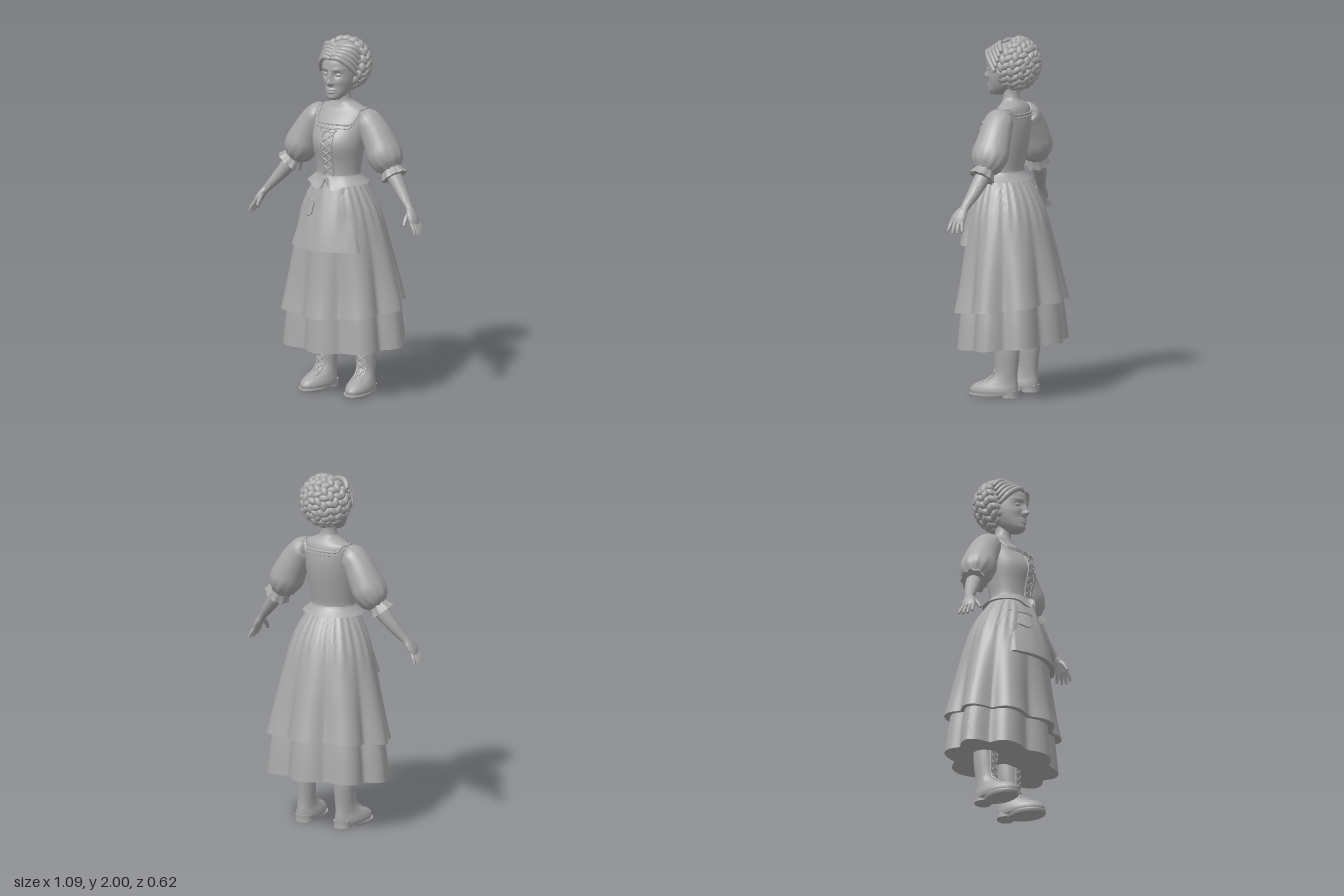
import * as THREE from 'three';
import { mergeGeometries, toCreasedNormals } from 'three/addons/utils/BufferGeometryUtils.js';

const clay = new THREE.MeshStandardMaterial({ color: 0xa8a8a8, side: THREE.DoubleSide });
clay.name = 'clay grey';

const V = (x, y, z) => new THREE.Vector3(x, y, z);
const TAU = Math.PI * 2;
const bell = (x, c, s) => Math.exp(-(((x - c) / s) ** 2));
const mix = THREE.MathUtils.lerp;
const step = THREE.MathUtils.smoothstep;

function add(parent, name, geo, crease = 0.9) {
  const mesh = new THREE.Mesh(crease ? toCreasedNormals(geo, crease) : geo, clay);
  mesh.name = name;
  parent.add(mesh);
}

// Surface from fn(u, v); u wraps around unless open
function grid(fn, nu, nv, open = false) {
  const pos = [], index = [], cols = open ? nu + 1 : nu;
  for (let j = 0; j <= nv; j++)
    for (let i = 0; i < cols; i++) pos.push(...fn(i / nu, j / nv).toArray());
  for (let j = 0; j < nv; j++)
    for (let i = 0; i < nu; i++) {
      const k = (i + 1) % cols, a = j * cols + i, b = j * cols + k;
      index.push(a, b, b + cols, a, b + cols, a + cols);
    }
  const g = new THREE.BufferGeometry();
  g.setAttribute('position', new THREE.Float32BufferAttribute(pos, 3));
  g.setIndex(index);
  g.computeVertexNormals();
  return g;
}

// Smooth interpolation through rows of numbers
function spline(rows) {
  const n = rows.length - 1;
  return (v) => {
    const f = Math.min(Math.max(v, 0), 1) * n, i = Math.min(Math.floor(f), n - 1), t = f - i;
    const [a, b, c, d] = [-1, 0, 1, 2].map((o) => rows[Math.min(Math.max(i + o, 0), n)]);
    return b.map((p, k) => p + 0.5 * t * (c[k] - a[k] + t * (2 * a[k] - 5 * p + 4 * c[k] - d[k] + t * (3 * (p - c[k]) + d[k] - a[k]))));
  };
}

// Stacked ovals: rows of [y, half width, front z, back z]
function oval(rows) {
  const s = spline(rows);
  return (t, v, grow = 1) => {
    const [y, rx, zf, zb] = s(v);
    return V(rx * grow * Math.sin(t), y, (zf + zb) / 2 + ((zf - zb) / 2) * grow * Math.cos(t));
  };
}

// Addresses an oval stack by height
const atY = (surf) => (t, y, grow) => {
  let lo = 0, hi = 1;
  for (let i = 0; i < 18; i++) {
    const m = (lo + hi) / 2;
    if (surf(0, m).y < y) lo = m; else hi = m;
  }
  return surf(t, lo, grow);
};

// Capped solid from stacked ovals
function loft(rows, nu, nv) {
  const s = oval(rows);
  return grid((u, v) => s(u * TAU, (v * nv - 1) / (nv - 2), v === 0 || v === 1 ? 0.001 : 1), nu, nv);
}

// Limb along rows of [x, y, z, radius along z, radius across]
function limb(rows, nu = 20, nv = 24, ripple = () => 1) {
  const s = spline(rows);
  return grid((u, v) => {
    const w = Math.min(Math.max((v * nv - 1) / (nv - 2), 0), 1);
    const p = s(w), q0 = s(w - 0.02), q1 = s(w + 0.02);
    const T = V(q1[0] - q0[0], q1[1] - q0[1], q1[2] - q0[2]).normalize();
    const A = V(0, 0, 1).addScaledVector(T, -T.z).normalize(), B = T.clone().cross(A);
    const k = (v === 0 || v === 1 ? 0.001 : 1) * ripple(u * TAU, w);
    return V(p[0], p[1], p[2]).addScaledVector(A, p[3] * k * Math.cos(u * TAU)).addScaledVector(B, p[4] * k * Math.sin(u * TAU));
  }, nu, nv);
}

const cord = (pts, r, n = 16, closed = false) =>
  new THREE.TubeGeometry(new THREE.CatmullRomCurve3(pts, closed), n, r, 6, closed);

// Criss-cross laces over a surface
function laces(surf, y0, y1, n, spread, r) {
  const parts = [], h = (y1 - y0) / n;
  for (let i = 0; i < n; i++)
    for (const s of [-1, 1])
      parts.push(cord([-1, -0.5, 0, 0.5, 1].map((k) => surf(k * s * spread, y0 + h * (i + 0.5 + k / 2), 1.04)), r, 8));
  return mergeGeometries(parts);
}

function buildSkirt(g) {
  // Eight deep folds at the hem, fine pleats at the waist
  const layer = (rows, slope, low, high) => {
    const s = oval(rows);
    return (u, v) => {
      const t = u * TAU, w = Math.max((v - 0.06) / 0.94, 0);
      const y = s(0, w).y, up = step(y, low, high);
      const lobe = 1 - Math.sqrt(Math.cos(4 * t) ** 2 + 0.03);
      const pleat = 0.018 * Math.cos(24 * t) * step(y, 0.85, 1.1);
      const p = s(t, w, (1 - mix(0.18, 0.04, up) * lobe + pleat) * (v < 0.02 ? 0.03 : v < 0.04 ? 0.95 : 1));
      p.y += -slope * Math.cos(t) * (1 - up) + (v < 0.02 ? 0.03 : 0);
      return p;
    };
  };
  add(g, 'overskirt', grid(layer([[0.495, 0.37, 0.31, -0.31], [0.62, 0.34, 0.285, -0.28], [0.8, 0.295, 0.258, -0.24],
    [1.0, 0.24, 0.232, -0.19], [1.12, 0.19, 0.205, -0.14], [1.22, 0.13, 0.16, -0.07]], 0.035, 0.5, 1.1), 144, 36));
  add(g, 'underskirt', grid(layer([[0.28, 0.37, 0.287, -0.305], [0.42, 0.352, 0.275, -0.288], [0.56, 0.325, 0.262, -0.265]], 0.02, 0.28, 2), 128, 28));

  // Apron with folded-in edges and a pocket
  const apron = (x, y, lift) => {
    const d = (1.2 - y) / 0.36, w = mix(0.125, 0.212, d);
    const z = 0.185 + 0.135 * d - 0.035 * d * d - 0.088 * (x / w) ** 2;
    return V(x, y, z + lift + 0.004 * Math.cos(x * 70) * (1 - d));
  };
  add(g, 'apron', grid((u, v) => {
    const y = mix(0.84, 1.2, Math.max((v - 0.05) / 0.95, 0)), w = mix(0.125, 0.212, (1.2 - y) / 0.36);
    const x = Math.min(Math.max((u - 0.5) * 2.1, -1), 1) * w;
    return apron(x, y, v < 0.02 || u < 0.02 || u > 0.98 ? -0.03 : 0.002);
  }, 48, 30, true));
  add(g, 'apronPocket', grid((u, v) => {
    const s = (u - 0.5) * 2, edge = u < 0.04 || u > 0.96 || v < 0.04 || v > 0.96;
    const x = -0.103 + s * mix(0.042, 0.052, v);
    return apron(x, mix(1.01 + 0.022 * Math.abs(s), 1.115 - 0.012 * s, v), edge ? -0.004 : 0.012);
  }, 20, 20, true));
  add(g, 'pocketFlap', cord([-0.155, -0.12, -0.085, -0.051].map((x) => apron(x, 1.115 - (x + 0.103) * 0.22, 0.012)), 0.007));
}

function buildTorso(g) {
  const rows = [[1.2, 0.13, 0.165, -0.065], [1.25, 0.121, 0.155, -0.055], [1.32, 0.128, 0.162, -0.068], [1.42, 0.143, 0.182, -0.088],
    [1.5, 0.148, 0.15, -0.096], [1.56, 0.148, 0.1, -0.092], [1.6, 0.138, 0.062, -0.082], [1.625, 0.09, 0.05, -0.066],
    [1.645, 0.053, 0.045, -0.05], [1.68, 0.043, 0.045, -0.044], [1.74, 0.045, 0.05, -0.05]];
  add(g, 'body', loft(rows, 48, 50));
  const body = atY(oval(rows));
  const top = (t) => {
    const a = Math.abs(Math.atan2(Math.sin(t), Math.cos(t)));
    return 1.605 - 0.075 * (1 - step(a, 0.72, 1.1)) - 0.035 * step(a, 2.1, 2.5);
  };
  add(g, 'bodice', grid((u, v) => body(u * TAU, mix(1.21, top(u * TAU), v), 1.04), 64, 30));
  const rim = (drop, r) => cord(Array.from({ length: 48 }, (_, i) => body(i / 48 * TAU, top(i / 48 * TAU) - drop, 1.045)), r, 120, true);
  add(g, 'necklineTrim', rim(0, 0.006));
  add(g, 'necklineSeam', rim(0.018, 0.004));

  // Peplum with a notched front
  add(g, 'peplum', grid((u, v) => {
    const t = u * TAU, a = Math.min(t, TAU - t);
    const hem = 1.198 - 0.028 * bell(a, 0.28, 0.3) + 0.045 * bell(a, 0, 0.09);
    const k = Math.max((v - 0.1) / 0.9, 0), f = (1 - k) ** 1.3, inset = v < 0.04 ? 0.9 : 1;
    return V((0.126 + 0.05 * f) * inset * Math.sin(t), mix(hem, 1.247, k), 0.05 + (0.112 + 0.038 * f) * inset * Math.cos(t));
  }, 120, 16));

  // Front lacing, facings and bow
  add(g, 'bodiceLaces', laces(body, 1.26, 1.48, 5, 0.2, 0.006));
  for (const s of [-1, 1]) {
    add(g, 'laceFacing', cord([1.245, 1.3, 1.36, 1.42, 1.49].map((y) => body(s * 0.23, y, 1.045)), 0.006));
    const P = (x, y, z = 0.008) => body(s * x / 0.148, y, 1.05).add(V(0, 0, z));
    add(g, 'bowLoop', cord([P(0, 1.5), P(0.03, 1.515, 0.015), P(0.05, 1.505), P(0.03, 1.495, 0.012)], 0.005, 20, true));
    add(g, 'bowTail', cord([P(0, 1.5), P(0.02, 1.485), P(0.032, 1.465)], 0.004));
  }
}

function buildHead(g) {
  // Face features are soft bumps and hollows on the skull
  const skull = oval([[1.667, 0.028, 0.122, 0.05], [1.68, 0.043, 0.138, 0.02], [1.705, 0.062, 0.138, -0.02], [1.74, 0.079, 0.135, -0.05],
    [1.78, 0.091, 0.137, -0.07], [1.83, 0.096, 0.141, -0.08], [1.88, 0.096, 0.138, -0.08], [1.925, 0.08, 0.112, -0.07], [1.955, 0.04, 0.07, -0.03]]);
  add(g, 'head', grid((u, v) => {
    const t = u * TAU, p = skull(t, (v * 80 - 1) / 78, v === 0 || v === 1 ? 0.001 : 1), x = Math.abs(p.x), y = p.y;
    if (Math.cos(t) > 0)
      p.z += 0.03 * bell(x, 0, 0.013) * bell(y, 1.766, 0.016) + 0.016 * bell(x, 0, 0.011) * bell(y, 1.797, 0.028)
        + 0.008 * bell(x, 0.016, 0.007) * bell(y, 1.762, 0.008) - 0.014 * bell(x, 0.038, 0.02) * bell(y, 1.812, 0.016)
        + 0.006 * bell(x, 0.04, 0.03) * bell(y, 1.842, 0.01) + 0.012 * bell(x, 0, 0.022) * bell(y, 1.727, 0.006)
        + 0.012 * bell(x, 0, 0.018) * bell(y, 1.713, 0.006) + 0.005 * bell(x, 0.05, 0.02) * bell(y, 1.772, 0.02);
    return p;
  }, 100, 80), 0);
  for (const s of [-1, 1]) {
    add(g, 'eyelid', new THREE.SphereGeometry(1, 16, 12).scale(0.02, 0.013, 0.016).translate(s * 0.038, 1.811, 0.114), 0);
    add(g, 'ear', new THREE.SphereGeometry(1, 12, 8).scale(0.012, 0.028, 0.02).translate(s * 0.1, 1.78, 0.015), 0);
    // Parted fringe swept to the temples
    for (let k = 0; k < 5; k++)
      add(g, 'fringeLock', limb([[s * 0.002, 1.902 + 0.013 * k, 0.135 - 0.02 * k, 0.008, 0.01], [s * 0.045, 1.905 + 0.014 * k, 0.128 - 0.02 * k, 0.013, 0.015],
        [s * 0.09, 1.866 + 0.022 * k, 0.092 - 0.016 * k, 0.015, 0.016], [s * 0.115, 1.808 + 0.028 * k, 0.045 - 0.01 * k, 0.01, 0.012]], 10, 16), 0);
  }
  add(g, 'scalp', new THREE.SphereGeometry(1, 24, 18).scale(0.126, 0.13, 0.112).translate(0, 1.847, -0.033), 0);

  // Woven braids: tilted lumps in rings around the back of the head
  const pole = V(0, -0.33, -0.944), right = V(1, 0, 0), up = right.clone().cross(pole), lumps = [];
  for (let ring = 0; ring <= 7; ring++) {
    const a = ring * 0.262, n = Math.max(1, Math.round(19 * Math.sin(a)));
    for (let i = 0; i < n; i++) {
      const b = ((i + (ring % 2) / 2) / n) * TAU;
      const radial = right.clone().multiplyScalar(Math.cos(b)).addScaledVector(up, Math.sin(b));
      const d = pole.clone().multiplyScalar(Math.cos(a)).addScaledVector(radial, Math.sin(a));
      const c = V(d.x * 0.13, 1.847 + d.y * 0.133, -0.033 + d.z * 0.115);
      if (c.z > -0.02 && c.y < 1.73 && Math.abs(c.x) < 0.075) continue;
      const around = ring ? pole.clone().cross(d).normalize() : right;
      const m = new THREE.Matrix4().makeBasis(around, d.clone().cross(around).normalize(), d);
      m.multiply(new THREE.Matrix4().makeRotationZ(ring % 2 ? 0.65 : -0.65)).setPosition(c);
      lumps.push(new THREE.SphereGeometry(1, 12, 8).scale(0.033, 0.021, 0.022).applyMatrix4(m));
    }
  }
  add(g, 'braidedHair', mergeGeometries(lumps), 0);
}

function buildArm(g) {
  add(g, 'puffSleeve', limb([[0.125, 1.56, -0.005, 0.045, 0.035], [0.15, 1.55, -0.005, 0.078, 0.066], [0.19, 1.5, -0.006, 0.086, 0.08],
    [0.232, 1.43, -0.006, 0.096, 0.088], [0.265, 1.365, -0.003, 0.104, 0.094], [0.293, 1.315, 0, 0.086, 0.082], [0.315, 1.282, 0.004, 0.052, 0.05]],
    55, 30, (t, w) => 1 + 0.035 * Math.cos(11 * t) * (step(w, 0.5, 0.95) + 0.4 * (1 - step(w, 0.1, 0.4)))));
  add(g, 'sleeveRuffle', limb([[0.305, 1.298, 0.004, 0.052, 0.052], [0.317, 1.28, 0.006, 0.056, 0.058], [0.338, 1.25, 0.012, 0.07, 0.074]],
    54, 12, (t, w) => 1 + 0.07 * w * Math.cos(9 * t)));
  add(g, 'forearm', limb([[0.3, 1.295, 0.002, 0.044, 0.044], [0.345, 1.238, 0.012, 0.043, 0.041], [0.4, 1.168, 0.03, 0.036, 0.033],
    [0.45, 1.108, 0.05, 0.026, 0.023], [0.472, 1.082, 0.057, 0.025, 0.02]]));
  add(g, 'palm', limb([[0.462, 1.093, 0.054, 0.024, 0.019], [0.48, 1.07, 0.064, 0.036, 0.02], [0.498, 1.04, 0.073, 0.042, 0.018], [0.51, 1.013, 0.078, 0.039, 0.014]]));
  for (let k = 0; k < 4; k++) {
    const z = 0.048 + k * 0.02, z2 = 0.032 + k * 0.029, len = [0.8, 0.95, 1, 0.85][k];
    add(g, 'finger', limb([[0.504, 1.025, z, 0.011, 0.011], [0.504 + 0.024 * len, 1.025 - 0.037 * len, mix(z, z2, 0.6), 0.01, 0.01],
      [0.504 + 0.037 * len, 1.025 - 0.066 * len, z2, 0.007, 0.007]], 10, 12));
  }
  add(g, 'thumb', limb([[0.475, 1.075, 0.08, 0.014, 0.013], [0.472, 1.045, 0.113, 0.013, 0.012], [0.474, 1.01, 0.135, 0.008, 0.008]], 10, 12));
}

function buildBoot(g) {
  const rows = [[0.016, 0.066, 0.172, -0.094], [0.035, 0.07, 0.178, -0.098], [0.055, 0.067, 0.168, -0.099], [0.076, 0.06, 0.135, -0.098],
    [0.098, 0.054, 0.075, -0.096], [0.13, 0.051, 0.035, -0.096], [0.18, 0.054, 0.026, -0.1], [0.26, 0.06, 0.026, -0.107], [0.45, 0.064, 0.03, -0.11]];
  add(g, 'boot', loft(rows, 36, 40));
  add(g, 'sole', loft([[0, 0.066, 0.178, -0.03], [0.01, 0.071, 0.184, -0.035], [0.02, 0.071, 0.183, -0.035]], 36, 8));
  add(g, 'heel', loft([[0, 0.05, -0.01, -0.103], [0.02, 0.05, -0.008, -0.102], [0.04, 0.053, 0, -0.104]], 30, 8));
  const skin = atY(oval(rows));
  add(g, 'bootLaces', laces(skin, 0.095, 0.3, 5, 0.42, 0.005));
  for (const s of [-1, 1])
    add(g, 'lacePlacket', cord([0.08, 0.1, 0.14, 0.2, 0.3].map((y) => skin(s * 0.5, y, 1.02)), 0.005));
}

export function createModel() {
  const model = new THREE.Group();
  model.name = 'womanInLacedDress';
  buildSkirt(model);
  buildTorso(model);
  buildHead(model);
  for (const s of [1, -1]) {
    const side = s > 0 ? 'left' : 'right';
    const arm = new THREE.Group(), leg = new THREE.Group();
    arm.name = side + 'Arm';
    leg.name = side + 'Leg';
    buildArm(arm);
    buildBoot(leg);
    arm.scale.x = s;
    leg.position.x = 0.13 * s;
    leg.rotation.y = 0.13 * s;
    model.add(arm, leg);
  }
  return model;
}
